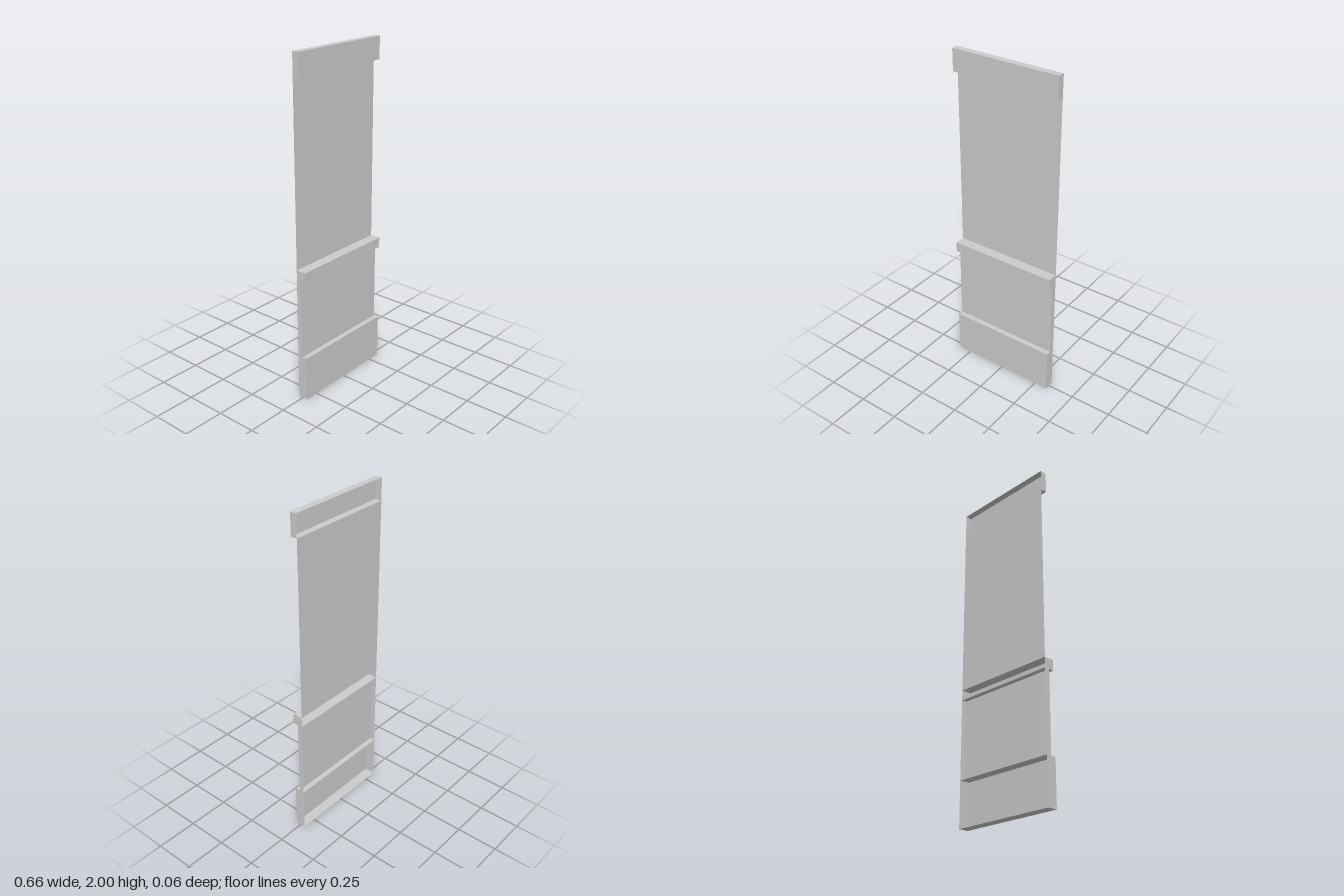
import * as THREE from 'three';

const W = 0.664, BACK = -0.031;

export function createModel() {
  const model = new THREE.Group();
  model.name = 'wallPanel';
  const material = new THREE.MeshStandardMaterial({ color: 0xcccccc, side: THREE.DoubleSide, flatShading: true });

  // One flat sheet, placed inside a parent group
  function sheet(parent, name, w, h, position, rotation = [0, 0, 0]) {
    const mesh = new THREE.Mesh(new THREE.PlaneGeometry(w, h), material);
    mesh.name = name;
    mesh.position.set(...position);
    mesh.rotation.set(...rotation);
    parent.add(mesh);
  }

  // Full-width moulding, hollow and open at the back
  function moulding(name, y0, y1, front, shelves) {
    const group = new THREE.Group();
    group.name = name;
    const h = y1 - y0, d = front - BACK, y = (y0 + y1) / 2, z = (front + BACK) / 2;
    sheet(group, name + 'Front', W, h, [0, y, front]);
    for (const s of [-1, 1]) {
      sheet(group, name + (s > 0 ? 'LeftEnd' : 'RightEnd'), d, h, [s * W / 2, y, z], [0, s * Math.PI / 2, 0]);
    }
    if (shelves) {
      sheet(group, name + 'Top', W, d, [0, y1, z], [-Math.PI / 2, 0, 0]);
      sheet(group, name + 'Bottom', W, d, [0, y0, z], [Math.PI / 2, 0, 0]);
    }
    model.add(group);
  }

  moulding('baseboard', 0, 0.268, 0.031, true);
  // The recessed panel is closed above and below by its neighbours
  moulding('lowerPanel', 0.268, 0.742, 0, false);
  moulding('chairRail', 0.742, 0.803, 0.031, true);
  moulding('topRail', 1.87, 2, 0.009, true);

  // Thin upper wall, flush with the back
  sheet(model, 'upperWall', W, 1.87 - 0.803, [0, (1.87 + 0.803) / 2, BACK]);

  return model;
}
